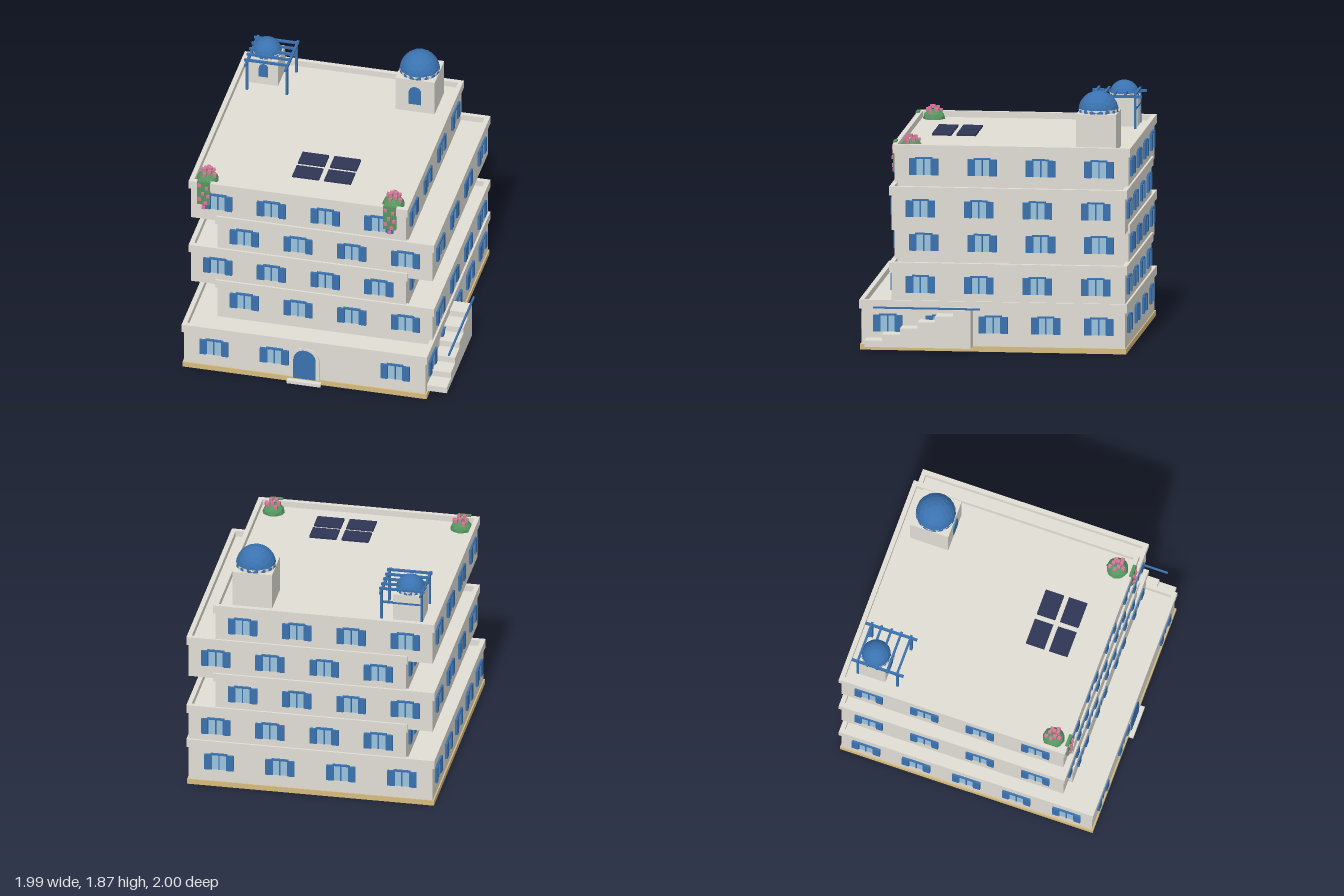
import * as THREE from 'three';

const mat = (name, color, flatShading = false) => {
  const m = new THREE.MeshStandardMaterial({ color, flatShading });
  m.name = name;
  return m;
};

export function createModel() {
  const root = new THREE.Group();
  root.name = 'terracedBuilding';

  const wall = mat('plaster', 0xe0ddd5);
  const blue = mat('paintedBlue', 0x3a72b0, true);
  const glass = mat('glass', 0x9cc4de);
  const sand = mat('sandPlinth', 0xd8bc80);
  const navy = mat('solarNavy', 0x2f3656);
  const green = mat('foliage', 0x55965f, true);
  const pink = mat('blossom', 0xd9769a);

  const add = (parent, name, geo, material, x = 0, y = 0, z = 0) => {
    const m = new THREE.Mesh(geo, material);
    m.name = name;
    m.position.set(x, y, z);
    parent.add(m);
    return m;
  };
  // Box given by its minimum and maximum corners
  const box = (parent, name, material, x0, x1, y0, y1, z0, z1) =>
    add(parent, name, new THREE.BoxGeometry(x1 - x0, y1 - y0, z1 - z0), material,
      (x0 + x1) / 2, (y0 + y1) / 2, (z0 + z1) / 2);
  const group = (parent, name) => {
    const g = new THREE.Group();
    g.name = name;
    parent.add(g);
    return g;
  };

  // Shuttered window, facing +z, origin at the sill centre on the wall
  const paneGeo = new THREE.BoxGeometry(0.12, 0.12, 0.016);
  const barGeo = new THREE.BoxGeometry(0.01, 0.12, 0.024);
  const lintelGeo = new THREE.BoxGeometry(0.125, 0.012, 0.034);
  const shutterGeo = new THREE.BoxGeometry(0.05, 0.122, 0.036);
  const makeWindow = parent => {
    const w = group(parent, 'window');
    add(w, 'pane', paneGeo, glass, 0, 0.06);
    add(w, 'mullion', barGeo, blue, 0, 0.06);
    add(w, 'lintel', lintelGeo, blue, 0, 0.126);
    for (const s of [-1, 1]) {
      add(w, 'jamb', barGeo, blue, s * 0.057, 0.06);
      add(w, 'shutter', shutterGeo, blue, s * 0.083, 0.061);
    }
    return w;
  };

  // Row of windows on each side of a storey
  const windowRows = (parent, f, sideCount, skipFront) => {
    const cx = (f.x0 + f.x1) / 2, cz = (f.z0 + f.z1) / 2;
    const w = f.x1 - f.x0, d = f.z1 - f.z0;
    for (let side = 0; side < 4; side++) {
      const along = side % 2 ? d : w, out = (side % 2 ? w : d) / 2;
      const n = side % 2 ? sideCount : 4;
      const row = group(parent, ['frontWindows', 'leftWindows', 'backWindows', 'rightWindows'][side]);
      row.position.set(cx, f.y0 + 0.102, cz);
      row.rotation.y = side * Math.PI / 2;
      for (let i = 0; i < n; i++) {
        if (side === 0 && i === skipFront) continue;
        makeWindow(row).position.set(along * ((i + 0.5) / n - 0.5), 0, out);
      }
    }
  };

  // Raised parapet around the storey's roof
  const parapet = (parent, f) => {
    const p = group(parent, 'parapet'), o = 0.015, t = 0.035;
    const x0 = f.x0 - o, x1 = f.x1 + o, z0 = f.z0 - o, z1 = f.z1 + o;
    const a = f.y1 - 0.02, b = f.y1 + 0.045;
    box(p, 'frontParapet', wall, x0, x1, a, b, z1 - t, z1);
    box(p, 'backParapet', wall, x0, x1, a, b, z0, z0 + t);
    box(p, 'leftParapet', wall, x1 - t, x1, a, b, z0 + t, z1 - t);
    box(p, 'rightParapet', wall, x0, x0 + t, a, b, z0 + t, z1 - t);
  };

  // Plinth and five storeys, the upper ones shifted alternately sideways
  box(root, 'plinth', sand, -0.99, 0.845, 0, 0.04, -0.993, 0.965);
  for (let i = 0; i < 5; i++) {
    const f = {
      x0: i % 2 ? -0.78 : -0.98, x1: i === 0 || i % 2 ? 0.835 : 0.635,
      y0: i ? 0.045 + 0.28 * i : 0.035, y1: 0.325 + 0.28 * i,
      z0: -0.985, z1: i ? 0.735 : 0.955,
    };
    const storey = group(root, 'storey' + (i + 1));
    box(storey, 'storeyWalls', wall, f.x0, f.x1, f.y0, f.y1, f.z0, f.z1);
    parapet(storey, f);
    windowRows(storey, f, i ? 4 : 5, i ? -1 : 2);
  }

  // Arched slab standing on y = 0, facing +z
  const arch = (halfWidth, height, depth) => {
    const s = new THREE.Shape();
    s.moveTo(-halfWidth, 0);
    s.lineTo(halfWidth, 0);
    s.lineTo(halfWidth, height - halfWidth);
    s.absarc(0, height - halfWidth, halfWidth, 0, Math.PI, false);
    s.closePath();
    return new THREE.ExtrudeGeometry(s, { depth, bevelEnabled: false, curveSegments: 10 });
  };
  const entrance = group(root, 'entrance');
  add(entrance, 'doorSurround', arch(0.11, 0.265, 0.02), wall, -0.0725, 0.035, 0.945);
  add(entrance, 'door', arch(0.083, 0.245, 0.03), blue, -0.0725, 0.037, 0.942);
  box(entrance, 'doorstep', wall, -0.2, 0.055, 0, 0.025, 0.95, 1);

  // Outside stair with a level handrail
  const stair = group(root, 'stair');
  for (let i = 0; i < 6; i++) {
    const z = 0.915 - i * 0.13;
    box(stair, 'step', wall, 0.835, 0.985, 0.042, 0.09 + i * 0.047, z - 0.13, z);
  }
  box(stair, 'handrail', blue, 0.977, 0.99, 0.328, 0.341, 0.065, 0.85);

  // Domed roof towers
  const tower = (name, x, z, half, top, doorHalf, doorHeight) => {
    const t = group(root, name);
    box(t, 'towerWalls', wall, x - half, x + half, 1.44, top, z - half, z + half);
    add(t, 'drum', new THREE.CylinderGeometry(half, half, 0.025, 16), wall, x, top + 0.0125, z);
    add(t, 'dome', new THREE.IcosahedronGeometry(half, 3), blue, x, top + 0.006, z);
    add(t, 'towerDoor', arch(doorHalf, doorHeight, 0.012), blue, x, 1.513, z + half - 0.003);
  };
  tower('largeTower', 0.383, -0.735, 0.148, 1.72, 0.046, 0.147);
  tower('smallTower', -0.777, -0.787, 0.109, 1.66, 0.034, 0.108);

  // Pergola around the small tower
  const pergola = group(root, 'pergola');
  for (const x of [-0.88, -0.58]) {
    for (const z of [-0.89, -0.585])
      box(pergola, 'post', blue, x - 0.009, x + 0.009, 1.44, 1.69, z - 0.009, z + 0.009);
    box(pergola, 'beam', blue, x - 0.009, x + 0.009, 1.671, 1.69, -0.94, -0.54);
  }
  for (let i = 0; i < 5; i++) {
    const z = -0.892 + i * 0.076;
    box(pergola, 'slat', blue, -0.9, -0.565, 1.69, 1.707, z - 0.008, z + 0.008);
  }
  box(pergola, 'crossRail', blue, -0.88, -0.58, 1.582, 1.597, -0.897, -0.883);

  // Solar panels
  const panels = group(root, 'solarPanels');
  for (const x of [-0.173, 0.067])
    for (const z of [0.265, 0.445])
      box(panels, 'solarPanel', navy, x - 0.1, x + 0.1, 1.485, 1.5, z - 0.071, z + 0.071);

  // Flowering bushes and trailing vines at the front corners
  const bloomGeo = new THREE.BoxGeometry(0.025, 0.025, 0.025);
  const bushGeo = new THREE.IcosahedronGeometry(0.083, 1);
  const vineBlooms = [[-0.03, 1.47], [0.025, 1.45], [-0.005, 1.40], [0.035, 1.38], [-0.03, 1.35], [0.015, 1.32], [0, 1.282]];
  for (const x of [-0.882, 0.515]) {
    const plant = group(root, 'floweringPlant');
    add(plant, 'bush', bushGeo, green, x, 1.445, 0.625).scale.y = 0.9;
    box(plant, 'vine', green, x - 0.048, x + 0.048, 1.303, 1.5, 0.73, 0.755);
    for (let i = 0; i < 9; i++) {
      const a = i * 2.4, r = 0.02 + 0.005 * i;
      add(plant, 'bushBloom', bloomGeo, pink, x + r * Math.cos(a), 1.54 - 0.005 * i, 0.625 + r * Math.sin(a));
    }
    for (const [dx, y] of vineBlooms)
      add(plant, 'vineBloom', bloomGeo, pink, x + dx, y, 0.752);
  }

  return root;
}
